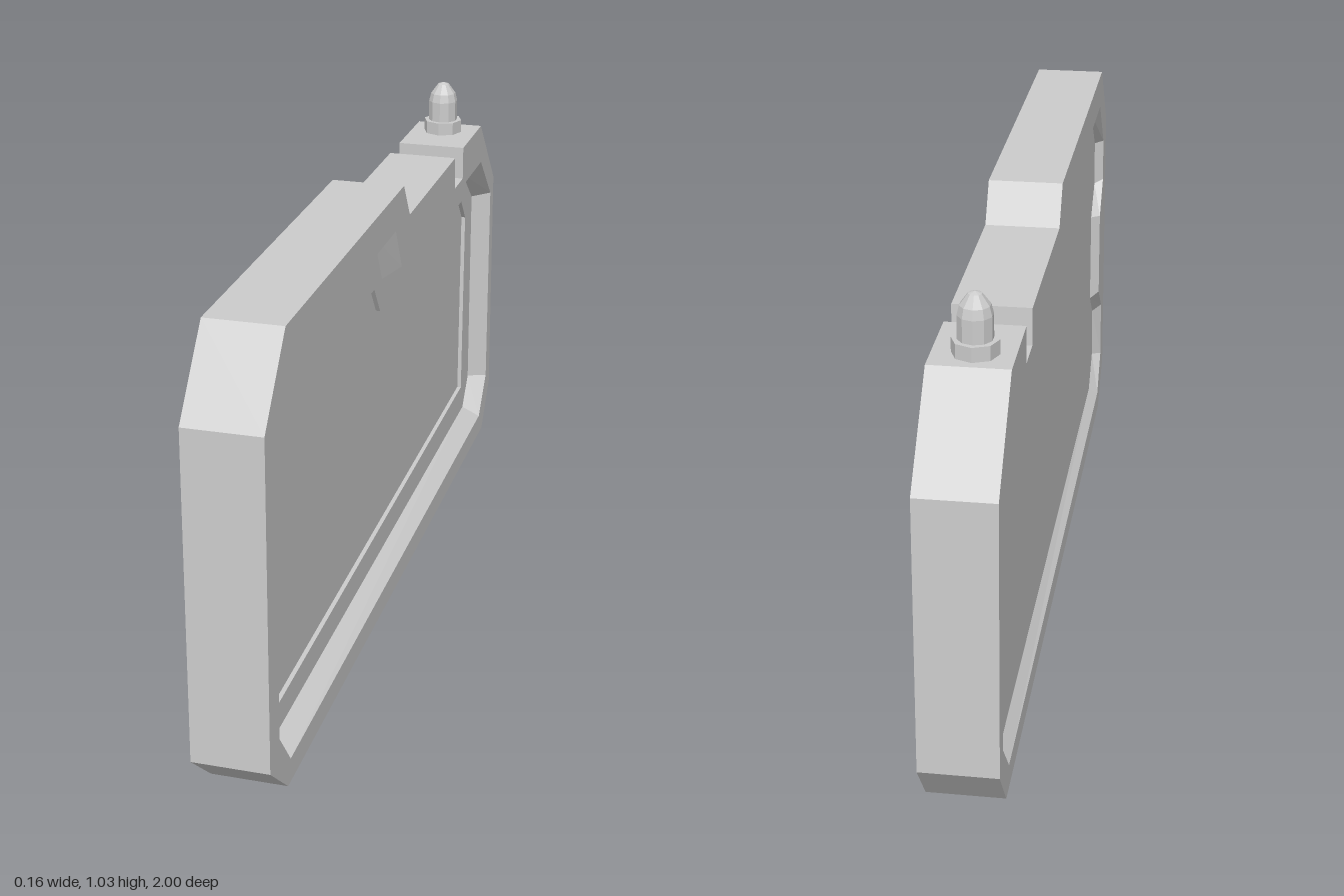
import * as THREE from 'three';

// Contours are [z, y] pairs, all listed in the same direction round the plate.
const outer = [
  [0.89, 0.005], [1, 0.105], [0.99, 0.825], [0.855, 0.99], [-0.015, 0.99], [-0.07, 0.905],
  [-0.52, 0.905], [-0.525, 0.825], [-0.61, 0.825], [-0.61, 0.905], [-0.815, 0.905],
  [-0.99, 0.715], [-1, 0.11], [-0.915, 0],
];
const opening = [
  [0.82, 0.907], [0.055, 0.907], [0, 0.805], [-0.825, 0.805], [-0.955, 0.68], [-0.955, 0.145],
  [-0.875, 0.053], [0.87, 0.058], [0.94, 0.15], [0.935, 0.3], [0.86, 0.37], [0.86, 0.59],
  [0.93, 0.67], [0.925, 0.78],
];
const recessFloor = [
  [0.81, 0.89], [0.07, 0.89], [0.005, 0.772], [-0.81, 0.772], [-0.925, 0.675], [-0.925, 0.15],
  [-0.865, 0.08], [0.85, 0.08], [0.92, 0.155], [0.91, 0.29], [0.845, 0.355], [0.845, 0.59],
  [0.92, 0.66], [0.915, 0.775],
];
const panel = [
  [0.835, 0.7], [0.73, 0.7], [0.68, 0.77], [0.07, 0.77], [0.02, 0.7], [-0.8, 0.7],
  [-0.85, 0.64], [-0.84, 0.15], [0.82, 0.14], [0.855, 0.185], [0.84, 0.35],
];

// Planes across the thickness
const FRONT = 0.082, BACK = -0.083;
const FLOOR = FRONT - 0.045, PANEL = FLOOR - 0.01, BACK_FLOOR = BACK + 0.022;

export function createModel() {
  const group = new THREE.Group();
  const material = new THREE.MeshStandardMaterial({ color: 0xcccccc, flatShading: true });

  const add = (name, geometry) => {
    const mesh = new THREE.Mesh(geometry, material);
    mesh.name = name;
    group.add(mesh);
    return mesh;
  };

  // Flat face at plane x, with optional hole, facing +x (side 1) or -x (side -1)
  const face = (name, contour, x, side, hole) => {
    const toPoints = (c) => c.map(([z, y]) => new THREE.Vector2(-z, y));
    const shape = new THREE.Shape(toPoints(contour));
    if (hole) shape.holes.push(new THREE.Path(toPoints(hole)));
    const geometry = new THREE.ShapeGeometry(shape);
    geometry.rotateY(Math.PI / 2).translate(x, 0, 0);
    if (side < 0) {
      geometry.index.array.reverse();
      geometry.computeVertexNormals();
    }
    add(name, geometry);
  };

  // Band of quads joining two matching contours at planes xa and xb
  const band = (name, a, xa, b, xb) => {
    const positions = [];
    a.forEach((p, i) => {
      const j = (i + 1) % a.length;
      const a0 = [xa, p[1], p[0]], a1 = [xa, a[j][1], a[j][0]];
      const b0 = [xb, b[i][1], b[i][0]], b1 = [xb, b[j][1], b[j][0]];
      positions.push(...a0, ...a1, ...b1, ...a0, ...b1, ...b0);
    });
    const geometry = new THREE.BufferGeometry();
    geometry.setAttribute('position', new THREE.Float32BufferAttribute(positions, 3));
    geometry.computeVertexNormals();
    add(name, geometry);
  };

  // Outer edge and rims
  band('outerEdge', outer, FRONT, outer, BACK);
  face('deepSideRim', outer, FRONT, 1, opening);
  face('shallowSideRim', outer, BACK, -1, opening);

  // Deep recess with a slightly sunken panel
  band('deepRecessWall', recessFloor, FLOOR, opening, FRONT);
  face('deepRecessFloor', recessFloor, FLOOR, 1, panel);
  band('panelStep', panel, PANEL, panel, FLOOR);
  face('sunkenPanel', panel, PANEL, 1);

  // Shallow recess on the other side
  band('shallowRecessWall', opening, BACK, recessFloor, BACK_FLOOR);
  face('shallowRecessFloor', recessFloor, BACK_FLOOR, -1);

  // Pin with collar and domed tip on the top edge
  const lathe = (profile, segments) => new THREE.LatheGeometry(
    profile.map(([r, y]) => new THREE.Vector2(r, y)), segments);
  const collar = add('pinCollar', lathe([[0, 0.9], [0.048, 0.9], [0.048, 0.936], [0, 0.936]], 8));
  const pin = add('pin', lathe(
    [[0.036, 0.93], [0.036, 0.985], [0.031, 1.005], [0.014, 1.028], [0, 1.033]], 10));
  for (const part of [collar, pin]) part.position.set(-0.004, 0, -0.748);

  return group;
}
